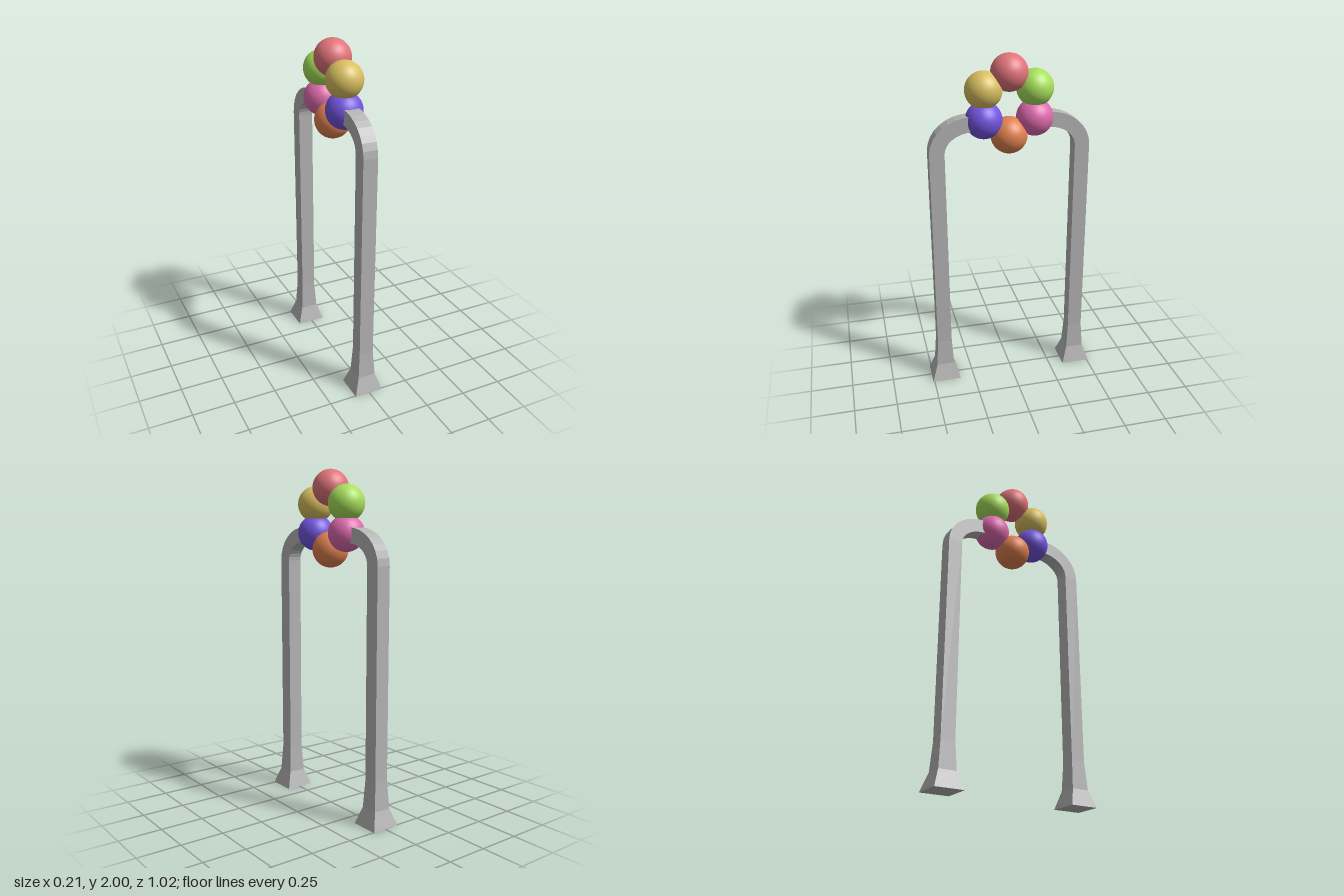
import * as THREE from 'three';

const mat = (name, color) => {
  const m = new THREE.MeshStandardMaterial({ color });
  m.name = name;
  return m;
};

// Square tube with a flared foot, rising and bending inward towards z = 0
function postGeometry() {
  // each section: [z, y, outward angle, half width]
  const sections = [
    [0.422, 0, 0, 0.086],
    [0.421, 0.1, 0, 0.053],
    [0.42, 0.26, 0, 0.043],
  ];
  const steps = 8, rz = 0.2, ry = 0.162;
  for (let i = 0; i <= steps; i++) {
    const a = (i / steps) * Math.PI / 2;
    const normal = Math.atan2(Math.sin(a) / ry, Math.cos(a) / rz);
    sections.push([0.22 + rz * Math.cos(a), 1.465 + ry * Math.sin(a), normal, 0.043]);
  }
  sections.push([0.15, 1.627, Math.PI / 2, 0.043]);

  const corners = [[1, 1], [1, -1], [-1, -1], [-1, 1]];
  const rings = sections.map(([z, y, a, h]) => corners.map(([sx, sn]) =>
    [sx * h, y + sn * h * Math.sin(a), z + sn * h * Math.cos(a)]));

  const pos = [];
  const quad = (a, b, c, d) => pos.push(...a, ...b, ...c, ...a, ...c, ...d);
  for (let i = 0; i < rings.length - 1; i++) {
    for (let k = 0; k < 4; k++) {
      const n = (k + 1) % 4;
      quad(rings[i][k], rings[i][n], rings[i + 1][n], rings[i + 1][k]);
    }
  }
  const [p, q, r, s] = rings[0];
  quad(p, s, r, q);
  quad(...rings[rings.length - 1]);

  const geo = new THREE.BufferGeometry();
  geo.setAttribute('position', new THREE.Float32BufferAttribute(pos, 3));
  geo.computeVertexNormals();
  return geo;
}

export function createModel() {
  const model = new THREE.Group();
  model.name = 'ballArch';

  // Two facing posts
  const grey = mat('post grey', 0xb4b4b4);
  const geo = postGeometry();
  ['frontPost', 'backPost'].forEach((name, i) => {
    const post = new THREE.Mesh(geo, grey);
    post.name = name;
    post.rotation.y = i * Math.PI;
    post.position.x = -0.003;
    model.add(post);
  });

  // Ring of six coloured balls: name, colour, y, z
  const ballGeo = new THREE.SphereGeometry(0.105, 40, 28);
  [
    ['red', 0xe0747a, 1.895, 0],
    ['yellow', 0xd8bf60, 1.805, 0.146],
    ['green', 0xa8e05c, 1.805, -0.146],
    ['purple', 0x7355e0, 1.637, 0.146],
    ['pink', 0xdd6aae, 1.637, -0.146],
    ['orange', 0xe0804f, 1.543, 0.002],
  ].forEach(([name, color, y, z]) => {
    const ball = new THREE.Mesh(ballGeo, mat(name, color));
    ball.name = name + 'Ball';
    ball.position.set(0, y, z);
    model.add(ball);
  });

  return model;
}
